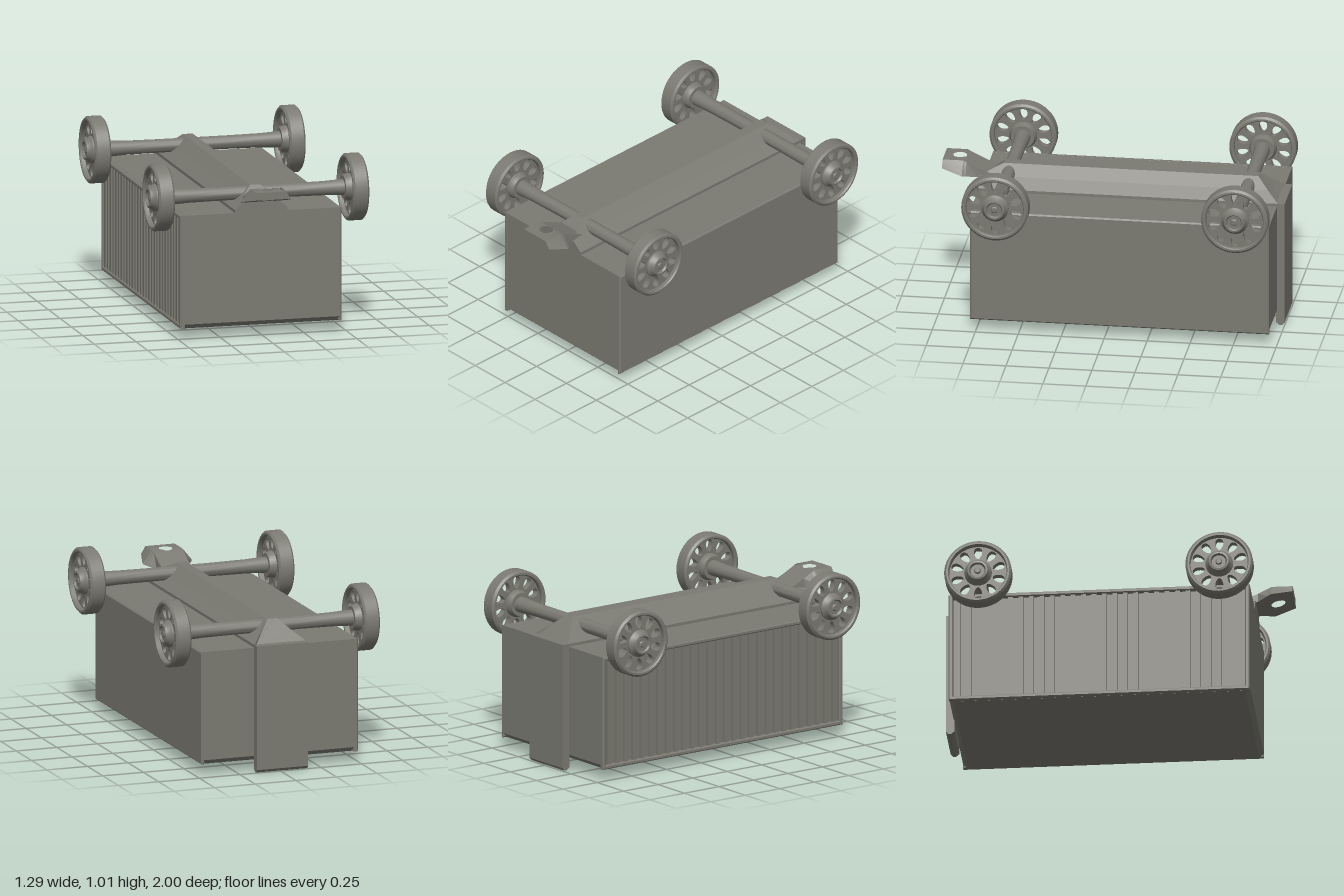
import * as THREE from 'three';
import { toCreasedNormals, mergeVertices } from 'three/addons/utils/BufferGeometryUtils.js';

const CX = -0.0125; // centre line of the body
const grey = new THREE.MeshStandardMaterial({ color: 0x7b7a72 });
grey.name = 'weathered grey';

const v2 = (pts) => pts.map(([a, b]) => new THREE.Vector2(a, b));
const shapeOf = (pts) => new THREE.Shape(v2(pts));
const rect = (z0, z1, y0, y1) => [[z0, y0], [z1, y0], [z1, y1], [z0, y1]];

function add(parent, name, geometry) {
  const mesh = new THREE.Mesh(geometry, grey);
  mesh.name = name;
  parent.add(mesh);
  return mesh;
}

// Extrudes a (z, y) outline from x0 to x1, with an optional bevel inside those limits
function acrossX(shape, x0, x1, bevel = 0) {
  const g = new THREE.ExtrudeGeometry(shape, {
    depth: x1 - x0 - 2 * bevel, bevelEnabled: bevel > 0, bevelSegments: 1,
    bevelSize: bevel, bevelThickness: bevel, bevelOffset: -bevel,
  });
  return g.rotateY(-Math.PI / 2).translate(x1 - bevel, 0, 0);
}

// Lathe about the x axis; profile points are [radius, x]
function latheX(pts, segments) {
  const g = new THREE.LatheGeometry(v2(pts), segments).rotateZ(-Math.PI / 2);
  return toCreasedNormals(g, 0.6);
}

// Linear interpolation in a list of [z, value]
function lerpTable(table, z) {
  for (let i = 1; i < table.length; i++) {
    const [a, va] = table[i - 1], [b, vb] = table[i];
    if (z <= b) return va + (vb - va) * Math.max(0, (z - a) / (b - a));
  }
  return table[table.length - 1][1];
}

// Flat-shaded skin over rings of points, with both ends capped
function loft(rings) {
  const pos = [], n = rings[0].length;
  const tri = (a, b, c) => pos.push(...a, ...b, ...c);
  for (let r = 0; r < rings.length - 1; r++) {
    for (let i = 0; i < n; i++) {
      const j = (i + 1) % n, A = rings[r], B = rings[r + 1];
      tri(A[i], A[j], B[i]);
      tri(A[j], B[j], B[i]);
    }
  }
  const first = rings[0], last = rings[rings.length - 1];
  for (let i = 1; i < n - 1; i++) {
    tri(first[0], first[i + 1], first[i]);
    tri(last[0], last[i], last[i + 1]);
  }
  const g = new THREE.BufferGeometry();
  g.setAttribute('position', new THREE.Float32BufferAttribute(pos, 3));
  g.computeVertexNormals();
  return g;
}

// Spine ring from [halfWidth, y, z] levels, bottom to top, mirrored, counter-clockwise from +z
const spineRing = (levels) => [
  ...levels.map(([w, y, z]) => [CX + w, y, z]),
  ...levels.slice().reverse().map(([w, y, z]) => [CX - w, y, z]),
];

function makeBody() {
  const body = new THREE.Group();
  body.name = 'body';
  const z0 = -0.955, z1 = 0.785, y0 = 0.07, y1 = 0.738, c = 0.027;
  // Core with its lower end edges cut back
  add(body, 'bodyCore', acrossX(shapeOf([
    [z0 + c, y0], [z1 - c, y0], [z1, y0 + c], [z1, y1], [z0, y1], [z0, y0 + c],
  ]), -0.47, 0.46));
  add(body, 'plainSide', acrossX(shapeOf(rect(z0, z1, y0, y1)), 0.448, 0.47, 0.008));
  // Framed side with upright ribs
  const frame = shapeOf(rect(z0, z1, y0, y1));
  frame.holes.push(new THREE.Path(v2(rect(z0 + 0.025, z1 - 0.025, y0 + 0.025, y1 - 0.025))));
  add(body, 'sideFrame', acrossX(frame, -0.495, -0.465, 0.006));
  const ribs = 28, step = (z1 - z0 - 0.05) / ribs;
  for (let i = 0; i < ribs; i++) {
    const rib = add(body, 'sideRib', new THREE.BoxGeometry(0.02, y1 - y0 - 0.045, step * 0.45));
    rib.position.set(-0.478, (y0 + y1) / 2, z0 + 0.025 + step * (i + 0.5));
  }
  return body;
}

function makeSpine() {
  const base = 0.1575, mid = 0.0925, top = 0.03;
  return loft([
    spineRing([[base, 0.73, -0.96], [base, 0.755, -0.96], [mid, 0.81, -0.893], [top, 0.87, -0.83]]),
    spineRing([[base, 0.73, 0.65], [base, 0.755, 0.65], [mid, 0.81, 0.65], [top, 0.87, 0.65]]),
    spineRing([[base, 0.73, 0.787], [base, 0.755, 0.787], [mid, 0.81, 0.787], [mid, 0.81, 0.71]]),
    spineRing([[base, 0.73, 0.787], [base, 0.755, 0.787], [mid, 0.81, 0.787], [mid, 0.81, 0.787]]),
  ]);
}

// Hitch plate piece: a plan outline pulled to the upper and lower curves, narrower on top
function hitchPiece(zs, holeZ) {
  const widths = [[0.7, 0.09], [0.79, 0.09], [0.88, 0.1525], [1, 0.117]];
  const upper = [[0.7, 0.81], [0.8, 0.855], [0.88, 0.895], [1, 0.895]];
  const lower = [[0.7, 0.78], [0.8, 0.8], [1, 0.85]];
  const side = zs.map((z) => [lerpTable(widths, z), -z]);
  const shape = shapeOf([...side, ...side.slice().reverse().map(([x, z]) => [-x, z])]);
  if (holeZ) {
    const hole = new THREE.Path();
    hole.absarc(0, -holeZ, 0.04, 0, Math.PI * 2, true);
    shape.holes.push(hole);
  }
  const g = new THREE.ExtrudeGeometry(shape, { depth: 1, bevelEnabled: false, curveSegments: 20 });
  g.rotateX(-Math.PI / 2);
  const p = g.attributes.position;
  for (let i = 0; i < p.count; i++) {
    const isTop = p.getY(i) > 0.5, z = p.getZ(i), x = p.getX(i);
    p.setXYZ(i, CX + (isTop ? THREE.MathUtils.clamp(x, -0.09, 0.09) : x), lerpTable(isTop ? upper : lower, z), z);
  }
  g.computeVertexNormals();
  return toCreasedNormals(g, 0.5);
}

function makeWheel() {
  const wheel = new THREE.Group();
  wheel.name = 'wheel';
  add(wheel, 'rim', latheX([
    [0.166, -0.04], [0.172, -0.048], [0.183, -0.048], [0.195, -0.037], [0.195, 0.037],
    [0.183, 0.048], [0.172, 0.048], [0.166, 0.04], [0.166, -0.04],
  ], 48));
  // Spoked disc with petal-shaped openings
  const disc = new THREE.Shape();
  disc.absarc(0, 0, 0.172, 0, Math.PI * 2);
  const openings = 10;
  for (let i = 0; i < openings; i++) {
    const a = ((i + 0.5) / openings) * Math.PI * 2, pts = [];
    for (let k = 0; k < 16; k++) {
      const t = -(k / 16) * Math.PI * 2;
      const r = 0.125 + 0.036 * Math.cos(t), s = (0.023 + 0.006 * Math.cos(t)) * Math.sin(t);
      pts.push([r * Math.cos(a) - s * Math.sin(a), r * Math.sin(a) + s * Math.cos(a)]);
    }
    disc.holes.push(new THREE.Path(v2(pts)));
  }
  const g = new THREE.ExtrudeGeometry(disc, { depth: 0.04, bevelEnabled: false, curveSegments: 24 });
  add(wheel, 'spokes', toCreasedNormals(g.rotateY(Math.PI / 2).translate(-0.02, 0, 0), 0.7));
  // Stepped hub with a dished cap
  add(wheel, 'hub', latheX([
    [0, -0.06], [0.068, -0.06], [0.072, -0.05], [0.08, -0.03], [0.08, 0.03], [0.066, 0.045],
    [0.058, 0.063], [0.048, 0.065], [0.04, 0.053], [0.02, 0.053], [0.014, 0.06], [0, 0.06],
  ], 32));
  return wheel;
}

export function createModel() {
  const model = new THREE.Group();
  model.name = 'wagon';
  model.add(makeBody());
  add(model, 'spine', makeSpine());

  // Upright post on the back with a pointed foot
  add(model, 'backPost', acrossX(shapeOf([
    [-0.985, 0.005], [-0.97, 0.005], [-0.95, 0.022], [-0.95, 0.755], [-1, 0.755], [-1, 0.022],
  ]), -0.17, 0.145));

  // Hitch at the front
  add(model, 'hitchNeck', hitchPiece([0.7, 0.8, 0.86]));
  add(model, 'hitchHead', hitchPiece([0.86, 0.88, 1], 0.91));

  // Axles with a wheel on each end
  for (const z of [0.62, -0.775]) {
    const axle = add(model, 'axle', latheX([
      [0, -0.55], [0.047, -0.55], [0.046, -0.5], [0.041, -0.4], [0.039, -0.2],
      [0.039, 0.2], [0.041, 0.4], [0.046, 0.5], [0.047, 0.55], [0, 0.55],
    ], 24));
    axle.position.set(0, 0.82, z);
    for (const side of [1, -1]) {
      const wheel = makeWheel();
      wheel.position.set(side * 0.58, 0.82, z);
      if (side < 0) wheel.rotation.y = Math.PI;
      model.add(wheel);
    }
  }
  return model;
}
